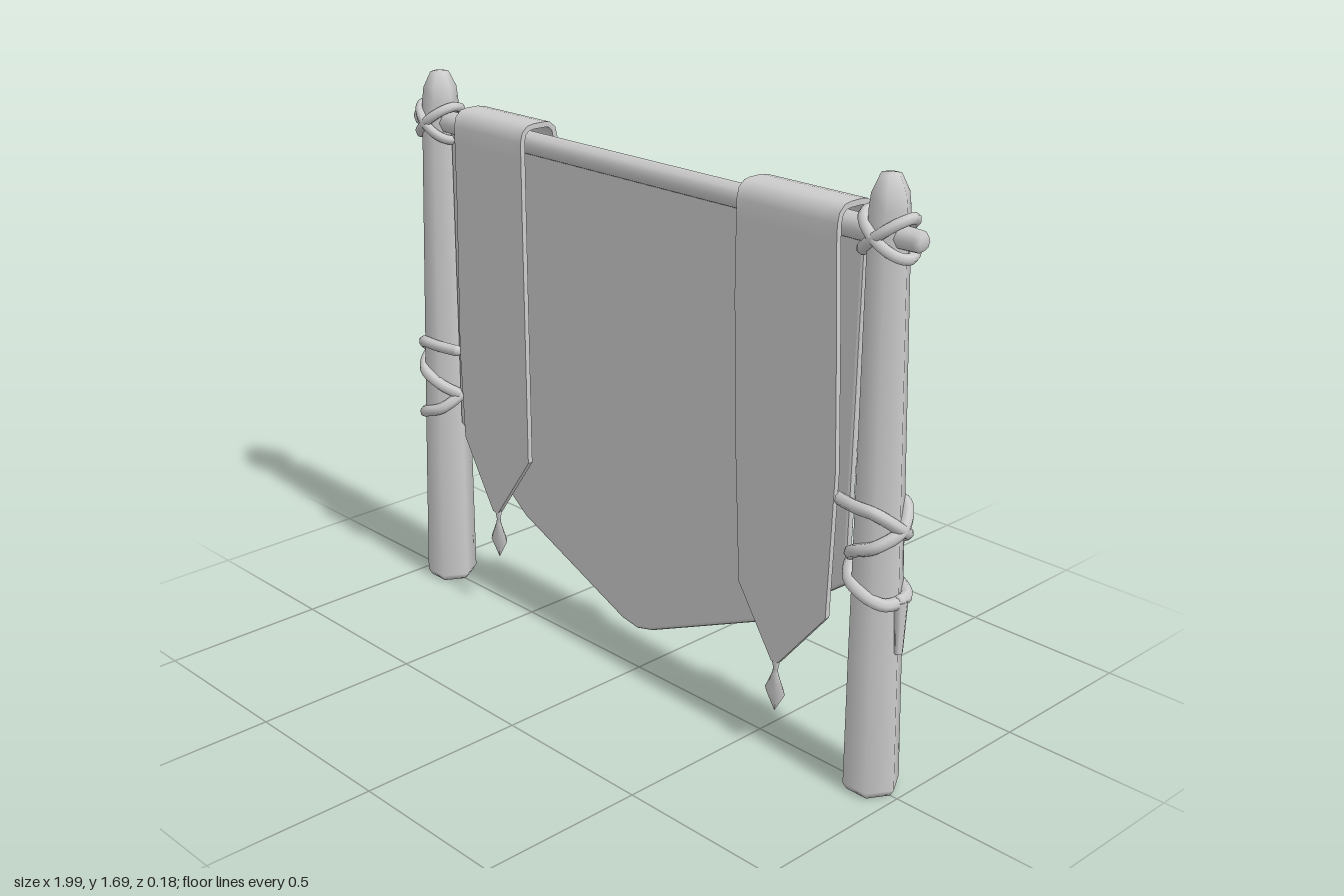
import * as THREE from 'three';

const grey = new THREE.MeshStandardMaterial({ color: 0xcccccc });
grey.name = 'plain grey';

const BAR_Y = 1.535;
const V = (x, y, z) => new THREE.Vector3(x, y, z);

function part(name, geometry) {
  const mesh = new THREE.Mesh(geometry, grey);
  mesh.name = name;
  return mesh;
}

// Post axis leans inward, and the post tapers upward
const postX = y => 0.908 - 0.018 * y;
const postR = y => 0.08 - 0.015 * y;

// Closed cloth of even thickness from rows of [left edge, right edge] points
function clothSheet(rows, across, thickness) {
  const grid = [], index = [], w = across + 1;
  rows.forEach(([a, b]) => {
    for (let j = 0; j <= across; j++) grid.push(...a.clone().lerp(b, j / across).toArray());
  });
  for (let i = 0; i < rows.length - 1; i++) {
    for (let j = 0; j < across; j++) {
      const a = i * w + j, b = a + 1, c = b + w, d = a + w;
      index.push(a, b, c, a, c, d);
    }
  }
  const mid = new THREE.BufferGeometry();
  mid.setAttribute('position', new THREE.Float32BufferAttribute(grid, 3));
  mid.setIndex(index);
  mid.computeVertexNormals();
  const normal = mid.attributes.normal.array, count = grid.length / 3;
  const face = side => grid.map((v, k) => v + side * normal[k] * thickness / 2);
  const front = face(1), back = face(-1);
  const pos = [...front, ...back], faces = [...index];
  for (let k = 0; k < index.length; k += 3) {
    faces.push(index[k] + count, index[k + 2] + count, index[k + 1] + count);
  }
  // rim around the border
  const border = [], last = rows.length - 1;
  for (let j = 0; j < across; j++) border.push(j);
  for (let i = 0; i < last; i++) border.push(i * w + across);
  for (let j = across; j > 0; j--) border.push(last * w + j);
  for (let i = last; i > 0; i--) border.push(i * w);
  border.forEach((p, k) => {
    const q = border[(k + 1) % border.length], n = pos.length / 3;
    for (const [src, v] of [[front, p], [back, p], [back, q], [front, q]]) {
      pos.push(...src.slice(v * 3, v * 3 + 3));
    }
    faces.push(n, n + 1, n + 2, n, n + 2, n + 3);
  });
  const geo = new THREE.BufferGeometry();
  geo.setAttribute('position', new THREE.Float32BufferAttribute(pos, 3));
  geo.setIndex(faces);
  geo.computeVertexNormals();
  return geo;
}

function makePost(side) {
  const profile = [[0, 0], [0.068, 0], [0.08, 0.02], [0.075, 0.4], [0.057, 1.5], [0.055, 1.6],
    [0.05, 1.64], [0.028, 1.685], [0, 1.69]].map(p => new THREE.Vector2(...p));
  const geo = new THREE.LatheGeometry(profile, 6, Math.PI / 6);
  const p = geo.attributes.position;
  for (let i = 0; i < p.count; i++) p.setX(i, p.getX(i) + side * postX(p.getY(i)));
  return part('post', geo);
}

// Point on a post's surface: 0 = outer side, 90 = front, 180 = inner side
function onPost(side, degrees, y, gap) {
  const a = degrees * Math.PI / 180, r = postR(y) + gap;
  return V(side * (postX(y) + r * Math.cos(a)), y, r * 0.93 * Math.sin(a));
}

function rope(name, points, radius, closed = false) {
  const curve = new THREE.CatmullRomCurve3(points, closed);
  const group = new THREE.Group();
  group.name = name;
  group.add(part(name + 'Strand', new THREE.TubeGeometry(curve, 64, radius, 7, closed)));
  if (!closed) {
    for (const end of [points[0], points[points.length - 1]]) {
      const cap = part(name + 'End', new THREE.SphereGeometry(radius, 8, 6));
      cap.position.copy(end);
      group.add(cap);
    }
  }
  return group;
}

function makeLashings(side) {
  const group = new THREE.Group();
  group.name = 'lashings';
  // two crossed loops that hold the bar
  for (const tilt of [-1, 1]) {
    const loop = [];
    for (let d = 0; d < 360; d += 30) {
      const y = BAR_Y + tilt * 0.05 * Math.cos(d * Math.PI / 180);
      loop.push(onPost(side, d, y, 0.008));
    }
    group.add(rope('barLashing', loop, 0.015, true));
  }
  // two strands spiralling down the post in opposite directions
  const frontStart = [[110, 0.828], [60, 0.825], [0, 0.775], [-60, 0.735], [-120, 0.7], [-180, 0.665],
    [-230, 0.62], [-280, 0.595], [-320, 0.575], [-360, 0.575]];
  const backStart = [[-150, 0.82], [-110, 0.825], [-60, 0.82], [0, 0.775], [60, 0.735], [120, 0.7],
    [180, 0.655], [230, 0.62], [280, 0.59], [330, 0.58], [360, 0.58]];
  const toPoints = list => list.map(([d, y]) => onPost(side, d, y, 0.006));
  group.add(rope('postRope', [V(side * 0.785, 0.825, 0.045), ...toPoints(frontStart)], 0.018));
  group.add(rope('postRope', toPoints(backStart), 0.018));
  // loose end
  const tail = part('ropeTail', new THREE.CylinderGeometry(0.023, 0.014, 0.15, 7));
  tail.position.set(side * 0.978, 0.505, 0);
  tail.scale.x = 0.7;
  group.add(tail);
  return group;
}

// Broad panel with a pointed hem
function makeBanner() {
  const hem = [[-0.81, 1.53], [-0.81, 0.57], [-0.65, 0.46], [-0.5, 0.345], [-0.06, 0.155], [0, 0.145],
    [0.06, 0.16], [0.5, 0.355], [0.64, 0.46], [0.79, 0.57], [0.805, 1.53]];
  const shape = new THREE.Shape(hem.map(p => new THREE.Vector2(...p)));
  const geo = new THREE.ExtrudeGeometry(shape, {
    depth: 0.01, bevelEnabled: true, bevelThickness: 0.006, bevelSize: 0.01, bevelSegments: 2
  });
  geo.translate(0, 0, -0.005);
  return part('banner', geo);
}

// Half of the sash: front strip, fold over the bar, back swag to the middle
function sashRows(side, front) {
  const z = 0.062;
  const rows = front.map(([o, i, y]) => [V(o, y, z), V(i, y, z)]);
  const [ox, ix] = front[front.length - 1];
  for (const [y, d] of [[1.55, z], [1.575, 0.056], [1.589, 0.04], [1.592, 0.02], [1.592, -0.02],
    [1.589, -0.04], [1.575, -0.056], [1.55, -z]]) {
    rows.push([V(ox, y, d), V(ix, y, d)]);
  }
  const outer = new THREE.QuadraticBezierCurve3(
    V(ox, 1.54, -z), V(side * 0.48, 0.91, -z), V(0.04, 0.64, -0.058));
  const inner = new THREE.QuadraticBezierCurve3(
    V(ix, 1.5, -z), V(side * 0.22, 1.24, -z), V(0.07, 1.1, -0.058));
  for (let k = 1; k <= 12; k++) rows.push([outer.getPoint(k / 12), inner.getPoint(k / 12)]);
  return rows;
}

function makeSash() {
  const right = sashRows(-1, [[-0.595, -0.57, 0.345], [-0.723, -0.417, 0.56], [-0.735, -0.418, 0.85],
    [-0.725, -0.42, 1.3], [-0.725, -0.42, 1.5]]);
  const left = sashRows(1, [[0.622, 0.597, 0.285], [0.785, 0.47, 0.48], [0.80, 0.447, 0.9],
    [0.785, 0.435, 1.3], [0.775, 0.435, 1.5]]);
  left.pop();
  return part('sash', clothSheet([...right, ...left.reverse()], 8, 0.016));
}

function makeTassel(x, y) {
  const profile = [[0, 0], [0.037, 0.062], [0.012, 0.115], [0.009, 0.13], [0.017, 0.165], [0, 0.17]]
    .map(p => new THREE.Vector2(...p));
  const tassel = part('tassel', new THREE.LatheGeometry(profile, 6, Math.PI / 6));
  tassel.scale.z = 0.5;
  tassel.position.set(x, y, 0.062);
  return tassel;
}

export function createModel() {
  const model = new THREE.Group();
  model.name = 'hangingBanner';
  for (const side of [-1, 1]) model.add(makePost(side), makeLashings(side));

  // crossbar with chamfered ends
  const barProfile = [[0, -0.99], [0.02, -0.99], [0.03, -0.975], [0.036, -0.8], [0.036, 0.8],
    [0.03, 0.975], [0.02, 0.99], [0, 0.99]].map(p => new THREE.Vector2(...p));
  const bar = part('crossbar', new THREE.LatheGeometry(barProfile, 8));
  bar.rotation.z = Math.PI / 2;
  bar.position.y = BAR_Y;
  model.add(bar);

  model.add(makeBanner(), makeSash(), makeTassel(-0.578, 0.19), makeTassel(0.608, 0.13));
  return model;
}
